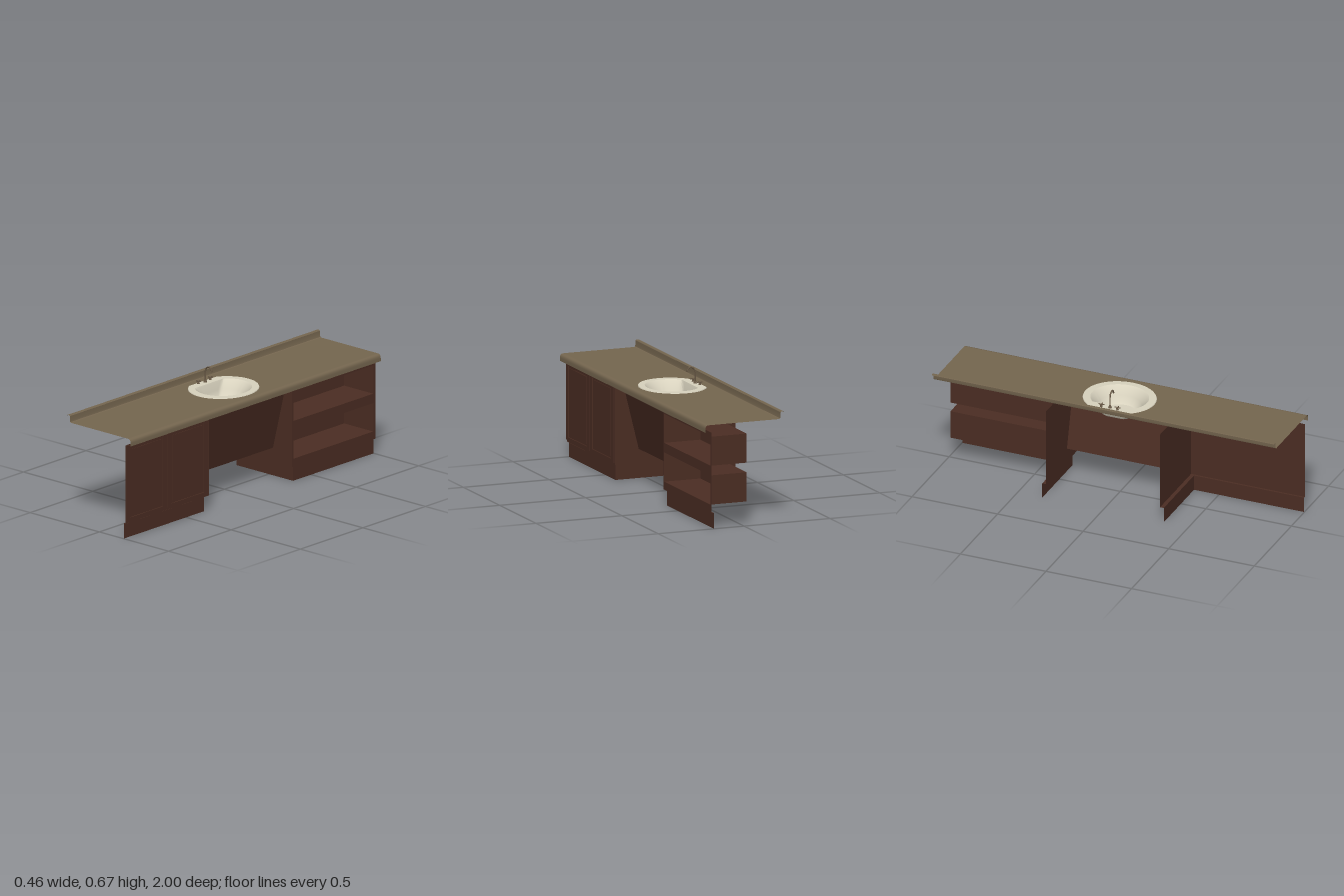
import * as THREE from 'three';
import { toCreasedNormals } from 'three/addons/utils/BufferGeometryUtils.js';

const material = (name, color) => {
  const m = new THREE.MeshStandardMaterial({ color, side: THREE.DoubleSide });
  m.name = name;
  return m;
};

export function createModel() {
  const model = new THREE.Group();
  model.name = 'vanityCounter';
  const wood = material('darkWood', 0x4b2d23);
  const stone = material('taupeCounter', 0x75664f);
  const ceramic = material('creamCeramic', 0xd8d2be);
  const metal = material('bronzeMetal', 0x6a5a47);

  const add = (name, geometry, mat, parent = model) => {
    const mesh = new THREE.Mesh(geometry, mat);
    mesh.name = name;
    parent.add(mesh);
    return mesh;
  };

  // Grid of point rows joined into a surface
  const loft = (rows, crease = 0.6) => {
    const n = rows[0].length, index = [];
    for (let i = 0; i < rows.length - 1; i++)
      for (let j = 0; j < n - 1; j++) {
        const a = i * n + j, b = a + n;
        index.push(a, a + 1, b, b, a + 1, b + 1);
      }
    const g = new THREE.BufferGeometry();
    g.setAttribute('position', new THREE.Float32BufferAttribute(rows.flat(2), 3));
    g.setIndex(index);
    return toCreasedNormals(g, crease);
  };
  // Profile of [x, y] points swept from z0 to z1
  const sweep = (profile, z0, z1) => loft(profile.map(([x, y]) => [[x, y, z1], [x, y, z0]]));

  const rect = (Type, u0, u1, v0, v1) => {
    const s = new Type();
    s.moveTo(u0, v0).lineTo(u1, v0).lineTo(u1, v1).lineTo(u0, v1).closePath();
    return s;
  };
  // Upright face looking along +x, rectangles given as [z0, z1, y0, y1]
  const frontFace = (outer, holes, x, depth = 0) => {
    const toShape = (T, [z0, z1, y0, y1]) => rect(T, -z1, -z0, y0, y1);
    const s = toShape(THREE.Shape, outer);
    holes.forEach((h) => s.holes.push(toShape(THREE.Path, h)));
    const g = depth
      ? new THREE.ExtrudeGeometry(s, { depth, bevelEnabled: false })
      : new THREE.ShapeGeometry(s);
    return g.rotateY(Math.PI / 2).translate(x, 0, 0);
  };
  // Upright face looking along z
  const sideFace = (x0, x1, y0, y1, z) =>
    new THREE.ShapeGeometry(rect(THREE.Shape, x0, x1, y0, y1)).translate(0, 0, z);

  const BACK = -0.232, FRONT = 0.188, TOP = 0.527, KICK = 0.086, KICKX = 0.175;
  const IN = 0.333, KICKIN = 0.355, END = 0.998;

  // Shared carcass of both cabinets: inner side, recessed plinth and its ledge
  const cabinet = (name, s) => {
    const group = new THREE.Group();
    group.name = name;
    model.add(group);
    const span = (a, b) => (s > 0 ? [a, b] : [-b, -a]);
    add('innerSide', sideFace(BACK, FRONT, KICK, TOP, s * IN), wood, group);
    add('plinthSide', sideFace(BACK, KICKX, 0, KICK, s * KICKIN), wood, group);
    add('plinthFront', frontFace([...span(KICKIN, END), 0, KICK], [], KICKX), wood, group);
    add('frontLedge', sweep([[KICKX, KICK], [FRONT, KICK]], ...span(IN, END)), wood, group);
    add('sideLedge', sweep([[BACK, KICK], [KICKX, KICK]], ...span(IN, KICKIN)), wood, group);
    return group;
  };

  // Door cabinet at +z
  const doors = cabinet('doorCabinet', 1);
  add('faceFrame', frontFace([IN, END, KICK, TOP], [], FRONT - 0.001), wood, doors);
  for (const [z0, z1] of [[0.34, 0.665], [0.67, 0.995]]) {
    const hole = [z0 + 0.035, z1 - 0.03, 0.115, 0.508];
    const inset = [hole[0] + 0.012, hole[1] - 0.012, 0.127, 0.496];
    add('doorFrame', frontFace([z0, z1, 0.098, 0.523], [hole], FRONT, 0.005), wood, doors);
    add('doorPanel', frontFace(inset, [], FRONT, 0.003), wood, doors);
  }

  // Open shelf cabinet at -z with two box recesses
  const shelves = cabinet('shelfCabinet', -1);
  const bays = [[-0.982, -0.345, 0.343, 0.502], [-0.982, -0.345, 0.13, 0.29]];
  add('faceFrame', frontFace([-END, -IN, KICK, TOP], bays, FRONT), wood, shelves);
  for (const [z0, z1, y0, y1] of bays) {
    const g = new THREE.BoxGeometry(0.21, y1 - y0, z1 - z0);
    g.setIndex([...g.index.array].slice(6)); // leave the front open
    g.clearGroups();
    g.translate(FRONT - 0.105, (y0 + y1) / 2, (z0 + z1) / 2);
    add('shelfRecess', g, wood, shelves);
  }

  // Sloping apron over the knee space
  add('kneeApron', sweep([[0.14, TOP], [0.05, 0.165]], -IN, IN), wood);

  // Oval flattened at the back, shared by the sink and its cutout
  const SEG = 64;
  const oval = (rx, rz, flat, y) => Array.from({ length: SEG + 1 }, (_, i) => {
    const a = (i / SEG) * Math.PI * 2;
    return [Math.max(rx * Math.cos(a) - 0.006, -flat), y, rz * Math.sin(a)];
  });

  // Countertop: flat slab face with cutout, rounded front lip, backsplash
  const slab = rect(THREE.Shape, -0.205, 0.205, -1, 1);
  slab.holes.push(new THREE.Path(oval(0.15, 0.165, 0.112, 0).map(([x, , z]) => new THREE.Vector2(x, -z))));
  add('counterTop', new THREE.ShapeGeometry(slab).rotateX(-Math.PI / 2).translate(0, 0.57, 0), stone);
  add('counterLip', sweep([[0.205, 0.57], [0.214, 0.569], [0.221, 0.565], [0.225, 0.557],
    [0.226, 0.548], [0.226, 0.53]], -1, 1), stone);
  add('backsplash', sweep([[-0.232, 0.606], [-0.23, 0.61], [-0.217, 0.61], [-0.213, 0.606],
    [-0.212, 0.58], [-0.21, 0.573], [-0.205, 0.57]], -1, 1), stone);

  // Sink: rim edge, rim, bowl wall and floor
  add('sink', loft([
    oval(0.183, 0.202, 0.16, 0.57), oval(0.181, 0.2, 0.158, 0.574),
    oval(0.147, 0.16, 0.108, 0.574), oval(0.138, 0.15, 0.105, 0.566),
    oval(0.112, 0.12, 0.096, 0.527), oval(0.098, 0.104, 0.088, 0.495),
    oval(0.085, 0.092, 0.078, 0.485), oval(0, 0, 0.07, 0.483),
  ]), ceramic);
  add('drain', new THREE.CylinderGeometry(0.007, 0.007, 0.002, 12), metal).position.set(-0.006, 0.485, 0);

  // Faucet: base and curved spout
  const faucet = new THREE.Group();
  faucet.name = 'faucet';
  model.add(faucet);
  add('faucetBase', new THREE.CylinderGeometry(0.006, 0.01, 0.014, 12), metal, faucet)
    .position.set(-0.138, 0.581, 0);
  const path = new THREE.CatmullRomCurve3([
    [-0.138, 0.575], [-0.138, 0.61], [-0.137, 0.637], [-0.129, 0.656], [-0.113, 0.664],
    [-0.099, 0.659], [-0.09, 0.642],
  ].map(([x, y]) => new THREE.Vector3(x, y, 0)));
  add('spout', new THREE.TubeGeometry(path, 28, 0.004, 8), metal, faucet);
  add('spoutTip', new THREE.CylinderGeometry(0.005, 0.005, 0.005, 10), metal, faucet)
    .position.set(-0.0905, 0.643, 0);

  // Cross handles on either side
  for (const s of [-1, 1]) {
    const handle = new THREE.Group();
    handle.name = 'tapHandle';
    handle.position.set(-0.145, 0.574, s * 0.047);
    faucet.add(handle);
    add('stem', new THREE.CylinderGeometry(0.004, 0.008, 0.018, 10), metal, handle).position.y = 0.007;
    add('crossBarX', new THREE.BoxGeometry(0.032, 0.004, 0.004), metal, handle).position.y = 0.015;
    add('crossBarZ', new THREE.BoxGeometry(0.004, 0.004, 0.032), metal, handle).position.y = 0.015;
  }
  return model;
}
